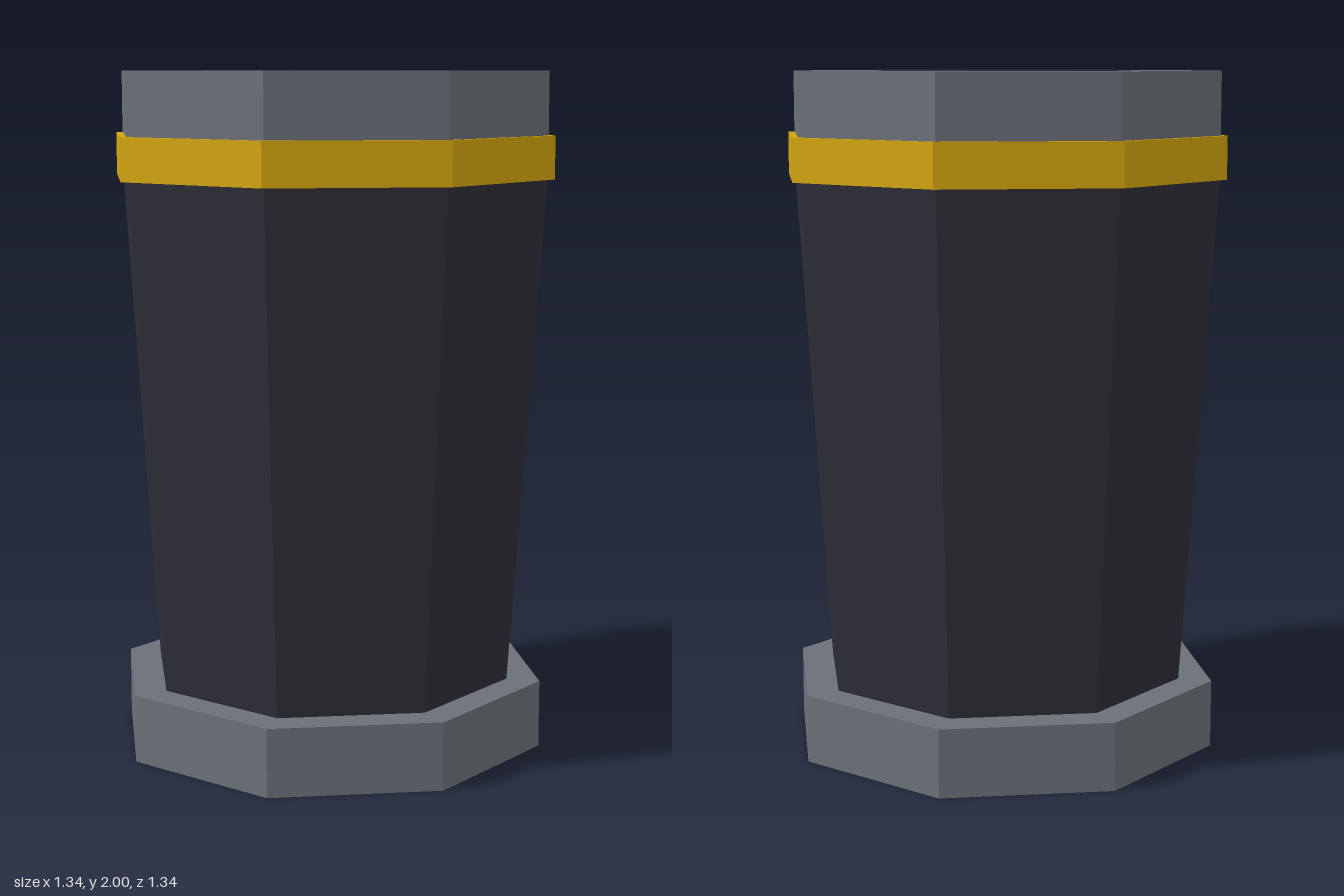
import * as THREE from 'three';

export function createModel() {
  const model = new THREE.Group();
  model.name = 'barrel';

  const paint = (name, color) => {
    const m = new THREE.MeshStandardMaterial({ color, flatShading: true });
    m.name = name;
    return m;
  };
  const grey = paint('steel grey', 0x6b7078);
  const dark = paint('dark charcoal', 0x2d2d37);
  const gold = paint('gold', 0xd4a50f);

  // Eight-sided section between two heights, corners on the x and z axes
  const section = (name, material, y0, y1, r0, r1 = r0, open = false) => {
    const geometry = new THREE.CylinderGeometry(r1, r0, y1 - y0, 8, 1, open);
    const mesh = new THREE.Mesh(geometry, material);
    mesh.name = name;
    mesh.position.y = (y0 + y1) / 2;
    model.add(mesh);
  };

  section('baseFlange', grey, 0, 0.2, 0.65);
  section('taperedBody', dark, 0.2, 1.7, 0.55, 0.65, true);
  section('goldBand', gold, 1.69, 1.815, 0.67);
  section('topRim', grey, 1.8, 1.998, 0.65);
  // Thin dark plate for the opening in the rim
  section('opening', dark, 1.996, 2, 0.387);

  return model;
}
